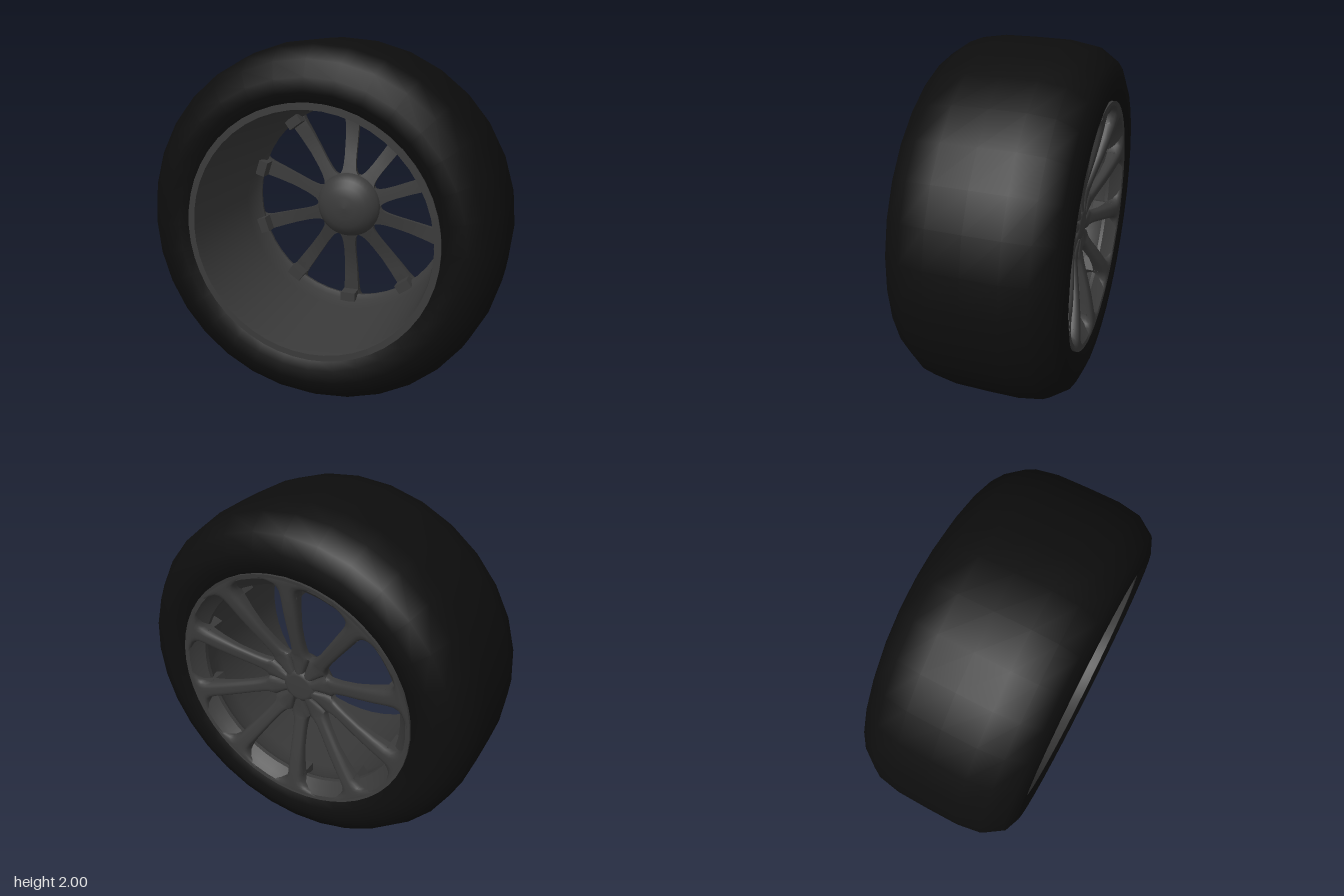
import * as THREE from 'three';
import { toCreasedNormals } from 'three/addons/utils/BufferGeometryUtils.js';

const SPOKES = 10;
const rubber = new THREE.MeshStandardMaterial({ color: 0x0d0d0d });
const metal = new THREE.MeshStandardMaterial({ color: 0x3a3a3a });

function addMesh(parent, name, geometry, material) {
  const mesh = new THREE.Mesh(geometry, material);
  mesh.name = name;
  parent.add(mesh);
  return mesh;
}

// Turned part around the z axis from [radius, z] points
function turned(points, segments) {
  const geo = new THREE.LatheGeometry(points.map(([r, z]) => new THREE.Vector2(r, z)), segments);
  return geo.rotateX(Math.PI / 2);
}

// One spoke with its share of the hub and rim: rows of [radius, half width, back z, front z]
function spokeGeometry() {
  const rows = [
    [0.001, 0.0003, -0.33, -0.27], [0.1, 0.0309, -0.33, -0.27], [0.16, 0.0494, -0.328, -0.275],
    [0.198, 0.0612, -0.33, -0.28], [0.205, 0.052, -0.332, -0.282], [0.22, 0.044, -0.336, -0.287],
    [0.25, 0.039, -0.343, -0.295], [0.3, 0.037, -0.355, -0.31], [0.4, 0.039, -0.38, -0.335],
    [0.5, 0.043, -0.402, -0.345], [0.58, 0.046, -0.417, -0.345], [0.615, 0.052, -0.422, -0.35],
    [0.64, 0.066, -0.426, -0.36], [0.658, 0.092, -0.428, -0.37], [0.672, 0.14, -0.43, -0.39],
    [0.685, 0.2116, -0.43, -0.4],
  ];
  // Rounded back, flat front: fractions of half width and thickness
  const section = [
    [-0.88, 0.18], [-0.68, 0.05], [-0.35, 0], [0, 0], [0.35, 0], [0.68, 0.05], [0.88, 0.18],
    [1, 0.5], [1, 1], [0, 1], [-1, 1], [-1, 0.5],
  ];
  const n = section.length, pos = [], index = [];
  rows.forEach(([r, w, back, front], i) => {
    section.forEach(([u, v], j) => {
      const t = u * w;
      pos.push(Math.sqrt(r * r - t * t), t, back + v * (front - back));
      if (i === rows.length - 1) return;
      const a = i * n + j, b = i * n + (j + 1) % n;
      index.push(a, b, a + n, b, b + n, a + n);
    });
  });
  const geo = new THREE.BufferGeometry();
  geo.setAttribute('position', new THREE.Float32BufferAttribute(pos, 3));
  geo.setIndex(index);
  return toCreasedNormals(geo, 0.8);
}

export function createModel() {
  const model = new THREE.Group();
  model.name = 'wheel';
  const wheel = new THREE.Group();
  wheel.name = 'wheelAssembly';
  wheel.position.y = 1;
  model.add(wheel);

  // Tyre: mirrored half profile, from tread centre to bead
  const half = [[1, 0], [0.998, 0.18], [0.977, 0.31], [0.91, 0.41], [0.825, 0.445], [0.75, 0.445], [0.692, 0.41]];
  const tyre = [...half.slice(1).reverse().map(([r, z]) => [r, -z]), ...half];
  addMesh(wheel, 'tyre', turned(tyre, 32), rubber);

  // Rim barrel: outer side, front lip, inside, window edge, back flange
  const rim = [
    [0.7, -0.43], [0.7, 0.425], [0.665, 0.425], [0.66, 0.39], [0.65, -0.2],
    [0.635, -0.3], [0.612, -0.335], [0.615, -0.355], [0.655, -0.395], [0.675, -0.425], [0.7, -0.43],
  ];
  addMesh(wheel, 'rim', toCreasedNormals(turned(rim, 48), 0.6), metal);

  // Hub: domed on the front, small flat cap on the back
  const dome = [[0.199, -0.32], [0.199, -0.28], [0.19, -0.255], [0.165, -0.225], [0.125, -0.2], [0.07, -0.185], [0, -0.18]];
  addMesh(wheel, 'hubDome', turned(dome, 40), metal);
  const cap = [[0, -0.333], [0.07, -0.333], [0.09, -0.328], [0.1, -0.31]];
  addMesh(wheel, 'hubCap', turned(cap, 40), metal);

  // Spokes, each with a foot reaching forward inside the barrel
  const spokeGeo = spokeGeometry();
  const footGeo = new THREE.BoxGeometry(0.075, 0.094, 0.12).translate(0.618, 0, -0.33);
  for (let i = 0; i < SPOKES; i++) {
    const arm = new THREE.Group();
    arm.name = 'spokeArm' + (i + 1);
    arm.rotation.z = Math.PI / 2 + (i * 2 * Math.PI) / SPOKES;
    addMesh(arm, 'spoke', spokeGeo, metal);
    addMesh(arm, 'spokeFoot', footGeo, metal);
    wheel.add(arm);
  }
  return model;
}
